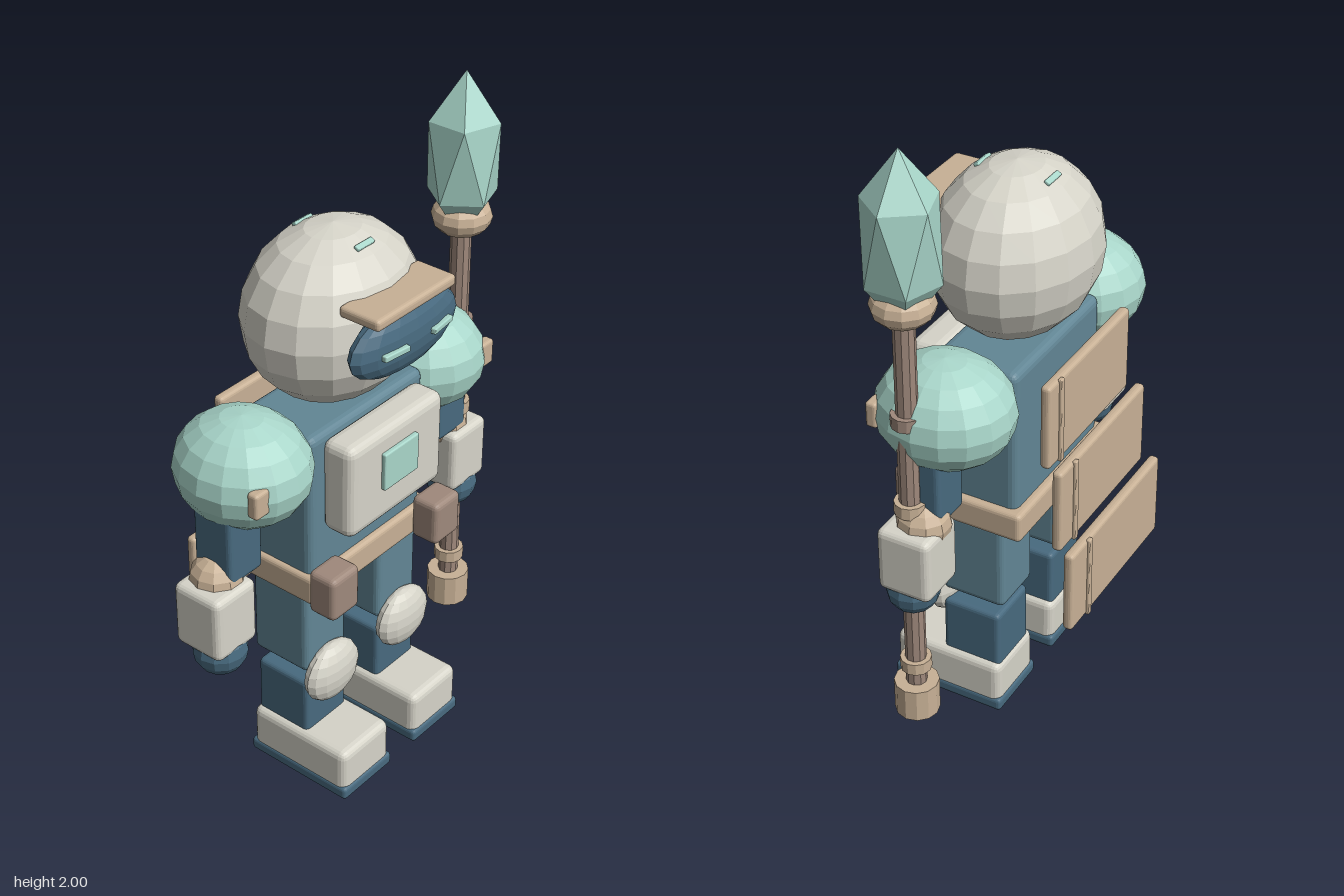
import * as THREE from 'three';
import { RoundedBoxGeometry } from 'three/addons/geometries/RoundedBoxGeometry.js';

const CX = -0.013; // body midline, offset because the staff widens the left side

export function createModel() {
  const model = new THREE.Group();
  model.name = 'armouredGuard';

  const mat = (name, color) => {
    const m = new THREE.MeshStandardMaterial({ color });
    m.name = name;
    return m;
  };
  const white = mat('offWhite', 0xd6d4c9);
  const mint = mat('mint', 0xa9d6ca);
  const tan = mat('tan', 0xc8b196);
  const brown = mat('brown', 0x9f897c);
  const blue = mat('steelBlue', 0x628695);
  const navy = mat('deepBlue', 0x486a7f);

  // Faceted mesh helper
  const add = (name, geometry, material, x, y, z) => {
    const g = geometry.index ? geometry.toNonIndexed() : geometry;
    g.computeVertexNormals();
    const mesh = new THREE.Mesh(g, material);
    mesh.name = name;
    mesh.position.set(x, y, z);
    model.add(mesh);
    return mesh;
  };
  const box = (name, m, x, y, z, w, h, d, r = 0.015) =>
    add(name, new RoundedBoxGeometry(w, h, d, 2, r), m, x, y, z);
  const ball = (name, m, x, y, z, rx, ry, rz, seg = 14, rings = 10) =>
    add(name, new THREE.SphereGeometry(1, seg, rings).scale(rx, ry, rz), m, x, y, z);
  const rod = (name, m, x, y, z, r, h, seg = 12) =>
    add(name, new THREE.CylinderGeometry(r, r, h, seg), m, x, y, z);

  // Head
  ball('helmet', white, CX, 1.474, 0.012, 0.284, 0.262, 0.238, 16, 10);
  ball('visor', navy, CX, 1.487, 0.255, 0.224, 0.105, 0.058, 16, 10);
  box('brow', tan, CX, 1.592, 0.237, 0.335, 0.035, 0.135, 0.012);
  for (const s of [-1, 1]) {
    box('eye', mint, CX + s * 0.098, 1.487, 0.309, 0.092, 0.018, 0.02, 0.004).rotation.y = s * 0.12;
    const vent = box('helmetVent', mint, CX, 1.704, 0.012 + s * 0.108, 0.07, 0.012, 0.018, 0.004);
    vent.rotation.x = s * 0.5;
  }

  // Torso
  box('torso', blue, CX - 0.005, 0.95, 0.013, 0.5, 0.53, 0.265, 0.025);
  box('chestPlate', white, CX, 1.05, 0.195, 0.415, 0.3, 0.11, 0.03);
  box('chestPanel', mint, CX, 1.07, 0.25, 0.15, 0.12, 0.028, 0.005);
  box('belt', tan, CX, 0.715, 0.01, 0.54, 0.095, 0.31);

  // Stepped back panels, each with a narrow rib
  for (let i = 0; i < 3; i++) {
    const y = 1.072 - i * 0.257;
    const z = -0.207 - i * 0.0485;
    box('backPanel', tan, CX, y, z, 0.484 + i * 0.036, 0.272, 0.032, 0.012);
    box('backPanelRib', tan, 0.165, y, z - 0.017, 0.02, 0.272, 0.014, 0.004);
  }

  // Mirrored limbs
  for (const s of [-1, 1]) {
    const at = (x) => CX + s * x;

    // Arm
    ball('shoulder', mint, at(0.386), 1.154, 0.018, 0.186, 0.163, 0.203, 16, 10);
    box('shoulderClasp', tan, at(0.496), 1.16, 0.172, 0.055, 0.08, 0.036, 0.01);
    box('upperArm', navy, at(0.463), 0.98, 0.027, 0.132, 0.245, 0.135);
    ball('elbow', tan, at(0.508), 0.85, 0.022, 0.08, 0.075, 0.08, 10, 8);
    box('gauntlet', white, at(0.53), 0.753, 0.034, 0.163, 0.207, 0.167, 0.022);
    ball('hand', navy, at(0.532), 0.633, 0.048, 0.08, 0.08, 0.08, 12, 8);

    // Belt pouch
    box('pouch', brown, at(0.234), 0.742, 0.212, 0.117, 0.143, 0.095, 0.018);

    // Leg
    box('thigh', blue, at(0.165), 0.535, 0.023, 0.178, 0.29, 0.207, 0.02);
    box('shin', navy, at(0.165), 0.225, 0.03, 0.178, 0.255, 0.19);
    ball('kneePad', white, at(0.166), 0.367, 0.146, 0.11, 0.097, 0.05, 14, 10);
    box('boot', white, at(0.166), 0.086, 0.105, 0.215, 0.172, 0.358, 0.025);
    box('sole', navy, at(0.166), 0.0235, 0.105, 0.222, 0.043, 0.37, 0.012);
  }

  // Staff
  const SX = 0.52, SZ = 0.048;
  rod('staffShaft', brown, SX, 0.86, SZ, 0.031, 1.3, 10);
  rod('staffCap', tan, SX, 0.233, SZ, 0.066, 0.105, 12);
  for (const y of [0.355, 0.912, 1.2]) {
    rod('staffRing', y === 1.2 ? brown : tan, SX, y, SZ, 0.046, 0.038, 12);
  }
  ball('staffKnob', tan, SX, 1.556, SZ, 0.09, 0.062, 0.09, 12, 8);

  // Crystal: an icosahedron stood on a corner and stretched
  const crystal = new THREE.IcosahedronGeometry(1, 0);
  crystal.rotateZ(-Math.atan(2 / (1 + Math.sqrt(5))));
  crystal.scale(0.1186, 0.26, 0.1186);
  add('crystal', crystal, mint, SX, 1.74, SZ - 0.002);

  return model;
}
